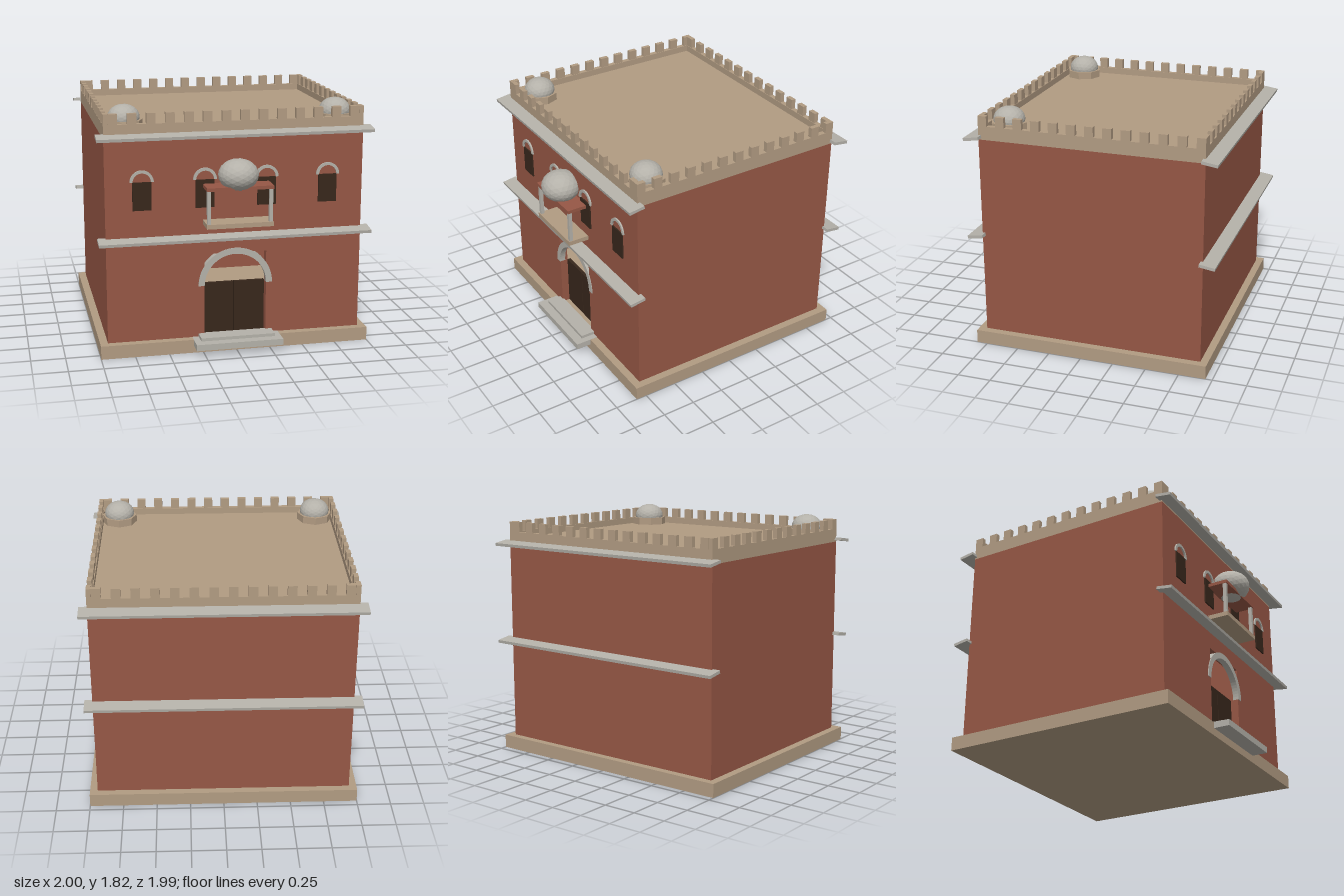
import * as THREE from 'three';

const mat = (color) => new THREE.MeshStandardMaterial({ color, flatShading: true });
const brick = mat(0x965745);
const sand = mat(0xb19b82);
const stone = mat(0xb4b1a9);
const wood = mat(0x38271c);

// Box given by its min and max on each axis
function box(parent, name, material, [x0, x1], [y0, y1], [z0, z1]) {
  const m = new THREE.Mesh(new THREE.BoxGeometry(x1 - x0, y1 - y0, z1 - z0), material);
  m.position.set((x0 + x1) / 2, (y0 + y1) / 2, (z0 + z1) / 2);
  m.name = name;
  parent.add(m);
  return m;
}

// Half-ring moulding standing on its two ends
function arch(parent, name, x, y, outer, inner, z0, z1, segments) {
  const s = new THREE.Shape();
  s.absarc(0, 0, outer, 0, Math.PI, false);
  s.absarc(0, 0, inner, Math.PI, 0, true);
  s.closePath();
  const g = new THREE.ExtrudeGeometry(s, { depth: z1 - z0, bevelEnabled: false, curveSegments: segments });
  const m = new THREE.Mesh(g, stone);
  m.position.set(x, y, z0);
  m.name = name;
  parent.add(m);
}

// Flattened faceted ball
function dome(parent, name, x, y, z, r, ry) {
  const m = new THREE.Mesh(new THREE.IcosahedronGeometry(r, 3), stone);
  m.scale.y = ry / r;
  m.position.set(x, y, z);
  m.name = name;
  parent.add(m);
}

export function createModel() {
  const model = new THREE.Group();
  const W = 0.943, front = 0.772, back = -0.895, t = 0.06;
  const y0 = 0.1, y1 = 1.6;

  box(model, 'base', sand, [-1, 1], [0, y0], [-0.95, 0.83]);

  // Hollow walls, the front one with a rectangular doorway
  const walls = new THREE.Group();
  walls.name = 'walls';
  model.add(walls);
  const face = new THREE.Shape();
  face.moveTo(-W, y0);
  face.lineTo(-0.23, y0);
  face.lineTo(-0.23, 0.73);
  face.lineTo(0.23, 0.73);
  face.lineTo(0.23, y0);
  face.lineTo(W, y0);
  face.lineTo(W, y1);
  face.lineTo(-W, y1);
  face.closePath();
  const frontWall = new THREE.Mesh(new THREE.ExtrudeGeometry(face, { depth: t, bevelEnabled: false }), brick);
  frontWall.position.z = front - t;
  frontWall.name = 'frontWall';
  walls.add(frontWall);
  box(walls, 'backWall', brick, [-W, W], [y0, y1], [back, back + t]);
  box(walls, 'leftWall', brick, [W - t, W], [y0, y1], [back + t, front - t]);
  box(walls, 'rightWall', brick, [-W, -W + t], [y0, y1], [back + t, front - t]);

  // Parapet with battlements around the roof slab
  const parapet = new THREE.Group();
  parapet.name = 'parapet';
  model.add(parapet);
  const p = 0.038, m = 0.034, top = 1.7, tip = 1.775, half = 0.0325;
  box(model, 'roof', sand, [-W + p, W - p], [y1, 1.652], [back + p, front - p]);
  box(parapet, 'parapetFront', sand, [-W, W], [y1, top], [front - p, front]);
  box(parapet, 'parapetBack', sand, [-W, W], [y1, top], [back, back + p]);
  box(parapet, 'parapetLeft', sand, [W - p, W], [y1, top], [back + p, front - p]);
  box(parapet, 'parapetRight', sand, [-W, -W + p], [y1, top], [back + p, front - p]);
  const nx = 14, nz = 13;
  for (let i = 0; i < nx; i++) {
    const x = -W + (i + 0.5) * 2 * W / nx;
    box(parapet, 'merlon', sand, [x - half, x + half], [top, tip], [front - m, front]);
    box(parapet, 'merlon', sand, [x - half, x + half], [top, tip], [back, back + m]);
  }
  // Side merlons run right to the corners
  for (let i = 0; i < nz; i++) {
    const z = back + half + i * (front - back - 2 * half) / (nz - 1);
    for (const s of [-1, 1]) {
      const c = s * (W - m / 2);
      box(parapet, 'merlon', sand, [c - m / 2, c + m / 2], [top, tip], [z - half, z + half]);
    }
  }

  // Sloping cornices on the front and back
  for (const y of [0.865, 1.615]) for (const [z, tilt] of [[0.808, 0.15], [-0.936, -0.15]]) {
    const c = box(model, 'cornice', stone, [-1, 1], [y - 0.011, y + 0.011], [z - 0.059, z + 0.059]);
    c.rotation.x = tilt;
  }

  // Roof domes on octagonal drums
  for (const s of [-1, 1]) {
    const drum = new THREE.Mesh(new THREE.CylinderGeometry(0.135, 0.135, 0.06, 8), sand);
    drum.position.set(s * 0.777, 1.678, 0.6);
    drum.name = 'domeDrum';
    model.add(drum);
    dome(model, 'roofDome', s * 0.777, 1.725, 0.6, 0.115, 0.092);
  }

  // Windows with arched heads
  for (const x of [-0.68, -0.226, 0.226, 0.68]) {
    box(model, 'window', wood, [x - 0.068, x + 0.068], [1.08, 1.285], [front - 0.02, front + 0.01]);
    arch(model, 'windowArch', x, 1.285, 0.086, 0.065, front - 0.02, front + 0.012, 12);
  }

  // Entrance: door leaves, arch and steps
  for (const s of [-1, 1]) {
    const a = s * 0.003, b = s * 0.23;
    box(model, 'doorLeaf', wood, [Math.min(a, b), Math.max(a, b)], [y0, 0.49], [front - 0.085, front - 0.06]);
  }
  arch(model, 'doorArch', 0, 0.49, 0.275, 0.23, front - 0.04, front + 0.006, 16);
  box(model, 'lowerStep', stone, [-0.322, 0.322], [0.056, 0.102], [0.76, 0.947]);
  box(model, 'upperStep', stone, [-0.275, 0.275], [0.1, 0.125], [0.76, 0.88]);

  // Balcony with posts, canopy and dome
  const balcony = new THREE.Group();
  balcony.name = 'balcony';
  model.add(balcony);
  box(balcony, 'balconyFloor', sand, [-0.242, 0.242], [0.957, 0.99], [0.765, 0.931]);
  box(balcony, 'canopy', brick, [-0.242, 0.242], [1.23, 1.255], [0.765, 0.931]);
  for (const s of [-1, 1]) {
    box(balcony, 'balconyPost', stone, [s * 0.225 - 0.013, s * 0.225 + 0.013], [0.99, 1.23], [0.897, 0.923]);
  }
  dome(balcony, 'balconyDome', 0, 1.327, 0.853, 0.145, 0.115);

  return model;
}
